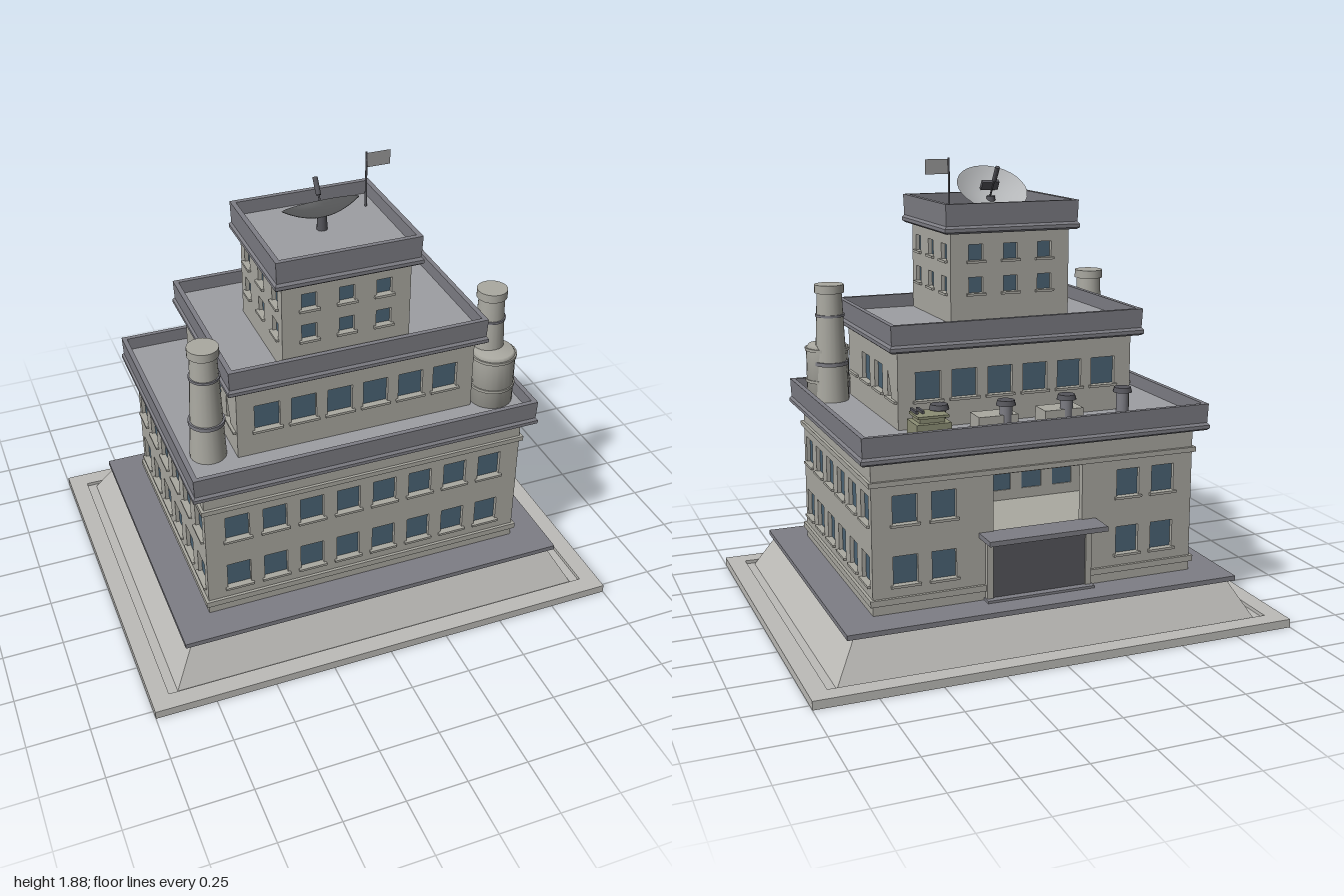
import * as THREE from 'three';

const mat = (color, side = THREE.FrontSide) => new THREE.MeshStandardMaterial({ color, side });
const WALL = mat(0xaaa9a1), STONE = mat(0xbdbcb8), TRIM = mat(0x7e7e85), ROOF = mat(0x9d9ea3),
  GLASS = mat(0x4b6475), DARK = mat(0x55555b), GREEN = mat(0x8c8e74),
  DISH = mat(0xb4b6b8, THREE.DoubleSide), FLAG = mat(0x9a9a9a, THREE.DoubleSide);

function add(parent, name, geo, material, x = 0, y = 0, z = 0) {
  const m = new THREE.Mesh(geo, material);
  m.name = name;
  m.position.set(x, y, z);
  parent.add(m);
  return m;
}
const box = (p, name, material, w, h, d, x, y, z) =>
  add(p, name, new THREE.BoxGeometry(w, h, d), material, x, y, z);
const cyl = (p, name, material, r1, r0, y0, y1, x, z, n = 20) =>
  add(p, name, new THREE.CylinderGeometry(r1, r0, y1 - y0, n), material, x, (y0 + y1) / 2, z);

// Skin over rectangular rings [halfX, halfZ, y], closed below and above on request
function loft(rings, bottom = true, top = true) {
  const pos = [];
  const pts = rings.map(([x, z, y]) => [[-x, y, z], [x, y, z], [x, y, -z], [-x, y, -z]]);
  const quad = (a, b, c, d) => pos.push(...a, ...b, ...c, ...a, ...c, ...d);
  for (let i = 0; i + 1 < pts.length; i++)
    for (let k = 0; k < 4; k++) {
      const n = (k + 1) % 4;
      quad(pts[i][k], pts[i][n], pts[i + 1][n], pts[i + 1][k]);
    }
  const f = pts[0], l = pts[pts.length - 1];
  if (bottom) quad(f[3], f[2], f[1], f[0]);
  if (top) quad(l[0], l[1], l[2], l[3]);
  const g = new THREE.BufferGeometry();
  g.setAttribute('position', new THREE.Float32BufferAttribute(pos, 3));
  g.computeVertexNormals();
  return g;
}

function rectPath(x0, y0, x1, y1, Type) {
  const s = new Type();
  s.moveTo(x0, y0); s.lineTo(x1, y0); s.lineTo(x1, y1); s.lineTo(x0, y1); s.closePath();
  return s;
}

// One wall with recessed windows and sills, facing outwards at distance d
function wall(parent, name, angle, d, hw, y0, y1, xs, rows, w, opening) {
  const g = new THREE.Group(), t = 0.03;
  g.name = name;
  g.rotation.y = angle;
  parent.add(g);
  const shape = rectPath(-hw, y0, hw, y1, THREE.Shape);
  if (opening) shape.holes.push(rectPath(...opening, THREE.Path));
  for (const [b, c] of rows)
    for (const x of xs) {
      shape.holes.push(rectPath(x - w / 2, b, x + w / 2, c, THREE.Path));
      box(g, 'windowGlass', GLASS, w, c - b, 0.008, x, (b + c) / 2, d - 0.02);
      box(g, 'windowSill', WALL, w + 0.02, 0.01, 0.03, x, b - 0.005, d - 0.003);
    }
  add(g, 'wallPanel', new THREE.ExtrudeGeometry(shape, { depth: t, bevelEnabled: false }), WALL, 0, 0, d - t);
}

// A storey block: four walls, overhanging cornice with parapet, sunken roof
function tier(root, o) {
  const g = new THREE.Group();
  g.name = o.name;
  g.position.set(o.cx, 0, o.cz);
  root.add(g);
  const { hx, hz, y0, y1, top, out, rows, w } = o;
  wall(g, 'frontWall', 0, hz, hx, y0, y1, o.front, rows, w);
  wall(g, 'backWall', Math.PI, hz, hx, y0, y1, o.back || o.front, rows, w, o.opening);
  for (const s of [1, -1])
    wall(g, s > 0 ? 'leftWall' : 'rightWall', s * Math.PI / 2, hx, hz - 0.03, y0, y1, o.sides, rows, w);
  const X = hx + out, Z = hz + out, q = 0.022;
  add(g, 'cornice', loft([
    [X - 0.01, Z - 0.01, y1], [X, Z, y1 + 0.008], [X, Z, y1 + q], [X - 0.008, Z - 0.008, y1 + q + 0.01],
    [X - 0.005, Z - 0.005, top], [X - 0.025, Z - 0.025, top], [X - 0.025, Z - 0.025, top - 0.055]], true, false), TRIM);
  add(g, 'roof', loft([[X - 0.025, Z - 0.025, top - 0.06], [X - 0.025, Z - 0.025, top - 0.055]]), ROOF);
  return g;
}

const row = (n, step) => Array.from({ length: n }, (_, i) => (i - (n - 1) / 2) * step);

export function createModel() {
  const root = new THREE.Group();
  root.name = 'building';

  // Plinth
  add(root, 'base', loft([[1, 0.79, 0], [1, 0.79, 0.035], [0.925, 0.715, 0.035], [0.925, 0.715, 0.02],
    [0.885, 0.7, 0.02], [0.795, 0.62, 0.175]]), STONE);
  box(root, 'baseSlab', TRIM, 1.65, 0.02, 1.28, 0, 0.185, 0);

  // Storeys
  const main = tier(root, {
    name: 'lowerStoreys', cx: 0, cz: 0, hx: 0.683, hz: 0.5, y0: 0.195, y1: 0.8, top: 0.91, out: 0.05,
    rows: [[0.308, 0.423], [0.55, 0.663]], w: 0.1, front: row(8, 0.157), sides: row(6, 0.166),
    back: [-0.55, -0.393, 0.393, 0.55], opening: [-0.19, 0.2, 0.19, 0.7]
  });
  tier(root, {
    name: 'middleStorey', cx: 0, cz: 0.0525, hx: 0.502, hz: 0.3375, y0: 0.85, y1: 1.165, top: 1.275, out: 0.041,
    rows: [[0.967, 1.08]], w: 0.105, front: row(6, 0.151), sides: row(4, 0.174)
  });
  tier(root, {
    name: 'topStoreys', cx: -0.055, cz: 0.1625, hx: 0.26, hz: 0.2375, y0: 1.215, y1: 1.585, top: 1.705, out: 0.035,
    rows: [[1.34, 1.405], [1.473, 1.538]], w: 0.062, front: row(3, 0.151), sides: row(3, 0.16)
  });

  // Belt courses, which also close the hall inside the rear opening
  for (const [y, h] of [[0.247, 0.025], [0.715, 0.02]])
    box(main, 'beltCourse', WALL, 1.39, h, 1.024, 0, y, 0);

  // Rear entrance
  const entry = new THREE.Group();
  entry.name = 'rearEntrance';
  root.add(entry);
  box(entry, 'door', DARK, 0.4, 0.26, 0.02, 0, 0.325, -0.504);
  box(entry, 'canopy', TRIM, 0.5, 0.02, 0.125, 0, 0.463, -0.553);
  box(entry, 'doorHead', WALL, 0.44, 0.02, 0.03, 0, 0.443, -0.507);
  box(entry, 'doorStep', TRIM, 0.46, 0.01, 0.06, 0, 0.2, -0.515);
  for (const s of [1, -1]) box(entry, 'doorPost', WALL, 0.025, 0.26, 0.03, s * 0.212, 0.325, -0.507);

  // Chimneys
  for (const s of [1, -1]) {
    const c = new THREE.Group();
    c.name = s > 0 ? 'leftChimney' : 'rightChimney';
    c.position.set(s * 0.602, 0, 0.322);
    root.add(c);
    cyl(c, 'stack', WALL, 0.052, 0.073, 0.85, 1.325, 0, 0);
    cyl(c, 'lowerRing', TRIM, 0.073, 0.073, 1.008, 1.024, 0, 0);
    cyl(c, 'upperRing', TRIM, 0.062, 0.062, 1.215, 1.225, 0, 0);
    cyl(c, 'cap', WALL, 0.062, 0.062, 1.315, 1.35, 0, 0);
  }

  // Water tank beside the left chimney
  const profile = [[0, 0.85], [0.09, 0.85], [0.09, 1.075], [0.08, 1.09], [0, 1.097]];
  add(root, 'tank', new THREE.LatheGeometry(profile.map(p => new THREE.Vector2(...p)), 24), WALL, 0.605, 0, 0.365)
    .material = mat(0xaaa9a1);
  for (const y of [0.93, 1.065]) cyl(root, 'tankBand', WALL, 0.095, 0.095, y, y + 0.012, 0.605, 0.365, 24);

  // Roof vents and machine boxes
  for (const [x, z] of [[-0.425, -0.373], [-0.16, -0.405], [0.1, -0.405], [0.365, -0.373]]) {
    cyl(root, 'ventPipe', TRIM, 0.026, 0.026, 0.85, 0.955, x, z, 14);
    cyl(root, 'ventCap', DARK, 0.034, 0.04, 0.95, 0.97, x, z, 14);
  }
  for (const x of [-0.143, 0.137]) box(root, 'machineBox', WALL, 0.165, 0.06, 0.1, x, 0.883, -0.375);

  // Air cooler
  box(root, 'coolerBase', GREEN, 0.14, 0.06, 0.12, 0.415, 0.885, -0.4);
  box(root, 'coolerBody', GREEN, 0.1, 0.025, 0.09, 0.415, 0.925, -0.395);
  box(root, 'coolerLid', GREEN, 0.125, 0.01, 0.11, 0.415, 0.94, -0.4);
  for (const x of [0.44, 0.465]) box(root, 'coolerRail', DARK, 0.01, 0.012, 0.07, x, 0.95, -0.37);

  // Satellite dish, tilted up and to the rear
  const dish = new THREE.Group();
  dish.name = 'satelliteDish';
  dish.position.set(-0.055, 1.746, 0.123);
  dish.rotation.x = -0.59;
  root.add(dish);
  const bowl = row(9, 1).map(i => (i + 4) / 8).map(t => new THREE.Vector2(0.15 * t, 0.05 * (t * t - 1)));
  add(dish, 'bowl', new THREE.LatheGeometry(bowl, 28), DISH);
  cyl(dish, 'feedHorn', DARK, 0.01, 0.01, 0.035, 0.105, 0, 0, 10);
  cyl(dish, 'feedArm', DARK, 0.004, 0.004, -0.05, 0.04, 0, 0, 8);
  box(dish, 'feedBracket', DARK, 0.075, 0.04, 0.016, 0, -0.01, 0.03);
  cyl(root, 'dishPost', DARK, 0.018, 0.022, 1.645, 1.71, -0.055, 0.14, 12);

  // Flag
  cyl(root, 'flagPole', DARK, 0.004, 0.005, 1.645, 1.88, 0.175, 0.02, 8);
  add(root, 'flag', new THREE.PlaneGeometry(0.1, 0.06), FLAG, 0.225, 1.845, 0.02);

  return root;
}
